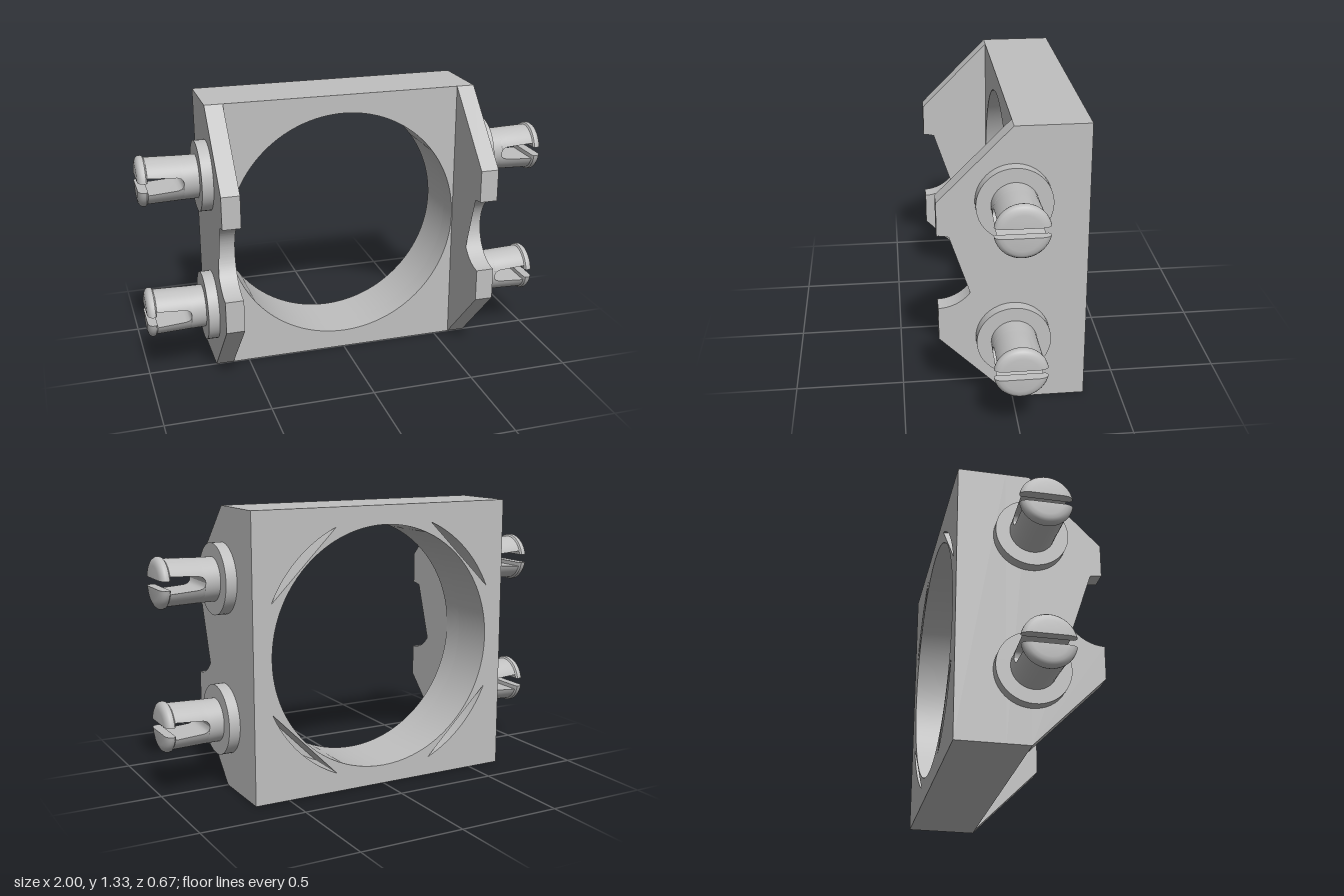
import * as THREE from 'three';
import { toCreasedNormals } from 'three/addons/utils/BufferGeometryUtils.js';

const HALF = 0.667;   // half width, and height of the ring centre
const BORE = 0.577;   // bore radius, and inner edge of the outer walls
const RING = 0.63;    // outer radius of the ring wall
const FLOOR = 0.11;   // thickness of the front slab
const DEPTH = 0.333;

const grey = new THREE.MeshStandardMaterial({ color: 0xc0c0c0 });
grey.name = 'light grey';

function addMesh(parent, name, geometry) {
  const mesh = new THREE.Mesh(toCreasedNormals(geometry, 0.6), grey);
  mesh.name = name;
  parent.add(mesh);
  return mesh;
}

// Square with a round bore, and optionally the four corner pockets
function frameShape(withPockets) {
  const s = new THREE.Shape();
  s.moveTo(-HALF, -HALF).lineTo(HALF, -HALF).lineTo(HALF, HALF).lineTo(-HALF, HALF).closePath();
  s.holes.push(new THREE.Path().absarc(0, 0, BORE, 0, Math.PI * 2, true));
  if (withPockets) {
    const t = Math.acos(BORE / RING);
    for (let k = 0; k < 4; k++) {
      const q = k * Math.PI / 2, mid = q + Math.PI / 4, d = BORE * Math.SQRT2;
      const p = new THREE.Path();
      p.moveTo(d * Math.cos(mid), d * Math.sin(mid));
      p.absarc(0, 0, RING, q + t, q + Math.PI / 2 - t, false);
      p.closePath();
      s.holes.push(p);
    }
  }
  return s;
}

function extrude(shape, depth) {
  return new THREE.ExtrudeGeometry(shape, { depth, bevelEnabled: false, curveSegments: 64 });
}

// Cheek plate outline in (z, y), with a round notch in its front edge
function cheekGeometry() {
  const s = new THREE.Shape();
  s.moveTo(0, 0).lineTo(DEPTH, 0.333).lineTo(DEPTH, 0.489);
  s.absarc(DEPTH, HALF, 0.178, -Math.PI / 2, Math.PI / 2, true);
  s.lineTo(DEPTH, 1.0).lineTo(0, HALF * 2).closePath();
  return extrude(s, 0.087).rotateY(-Math.PI / 2);
}

// Half of the split peg: circle segments above the slot, stacked along x
function legGeometry() {
  const stations = [ // x, radius, half slot height
    [0.79, 0.104, 0], [0.793, 0.104, 0.015], [0.802, 0.104, 0.025], [0.82, 0.105, 0.031],
    [0.955, 0.109, 0.04], [0.956, 0.109, 0.021], [0.962, 0.117, 0.021], [0.97, 0.119, 0.021],
    [0.98, 0.118, 0.021], [0.99, 0.111, 0.021], [0.997, 0.098, 0.021], [1.0, 0.08, 0.021],
  ];
  const N = 24, pos = [];
  const rings = stations.map(([x, r, h]) => {
    const a0 = Math.asin(h / r);
    return Array.from({ length: N + 1 }, (_, j) => {
      const a = a0 + (Math.PI - 2 * a0) * j / N;
      return [x, r * Math.sin(a), r * Math.cos(a)];
    });
  });
  const tri = (a, b, c) => pos.push(...a, ...b, ...c);
  for (let i = 0; i < rings.length - 1; i++) {
    for (let j = 0; j <= N; j++) {
      const k = (j + 1) % (N + 1), a = rings[i], b = rings[i + 1];
      tri(a[j], b[j], b[k]);
      tri(a[j], b[k], a[k]);
    }
  }
  const end = rings[rings.length - 1];
  for (let j = 1; j < N; j++) tri(end[0], end[j + 1], end[j]);
  const g = new THREE.BufferGeometry();
  g.setAttribute('position', new THREE.Float32BufferAttribute(pos, 3));
  return g;
}

// Flange and solid root of the peg
function pegBaseGeometry() {
  const profile = [[0.167, 0.66], [0.167, 0.72], [0.103, 0.72], [0.104, 0.79], [0, 0.79]];
  return new THREE.LatheGeometry(profile.map(([r, y]) => new THREE.Vector2(r, y)), 48)
    .rotateZ(-Math.PI / 2);
}

function createPeg() {
  const peg = new THREE.Group();
  addMesh(peg, 'pegFlange', pegBaseGeometry());
  addMesh(peg, 'upperPegLeg', legGeometry());
  addMesh(peg, 'lowerPegLeg', legGeometry()).rotation.x = Math.PI;
  return peg;
}

export function createModel() {
  const model = new THREE.Group();
  model.name = 'ringBracket';

  // Frame: closed front slab, pocketed back
  addMesh(model, 'frontSlab', extrude(frameShape(false), FLOOR)).position.set(0, HALF, -FLOOR);
  addMesh(model, 'pocketedBack', extrude(frameShape(true), DEPTH - FLOOR)).position.set(0, HALF, -DEPTH);

  for (const side of [1, -1]) {
    const label = side > 0 ? 'left' : 'right';
    addMesh(model, label + 'Cheek', cheekGeometry()).position.x = side > 0 ? HALF : -HALF + 0.087;
    for (const y of [0.333, 1.0]) {
      const peg = createPeg();
      peg.name = label + (y < HALF ? 'LowerPeg' : 'UpperPeg');
      peg.position.y = y;
      if (side < 0) peg.rotation.y = Math.PI;
      model.add(peg);
    }
  }
  return model;
}
